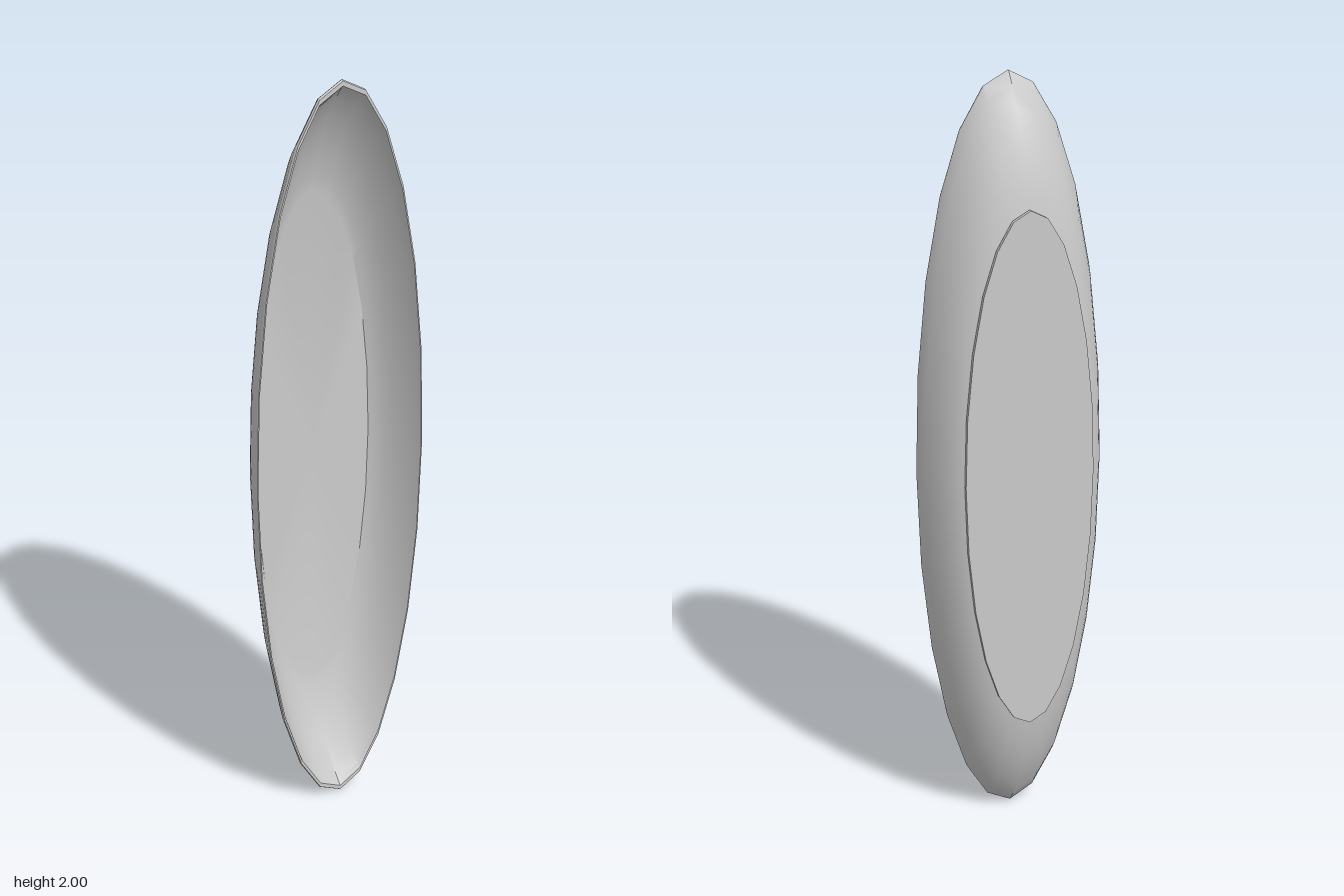
import * as THREE from 'three';
import { toCreasedNormals } from 'three/addons/utils/BufferGeometryUtils.js';

const HALF_WIDTH = 0.25;
const SEGMENTS = 24;

// Turns a [radius, depth] profile about z, then squeezes it into a tall ellipse
function ellipticalLathe(name, profile, material) {
  const points = profile.map(([r, d]) => new THREE.Vector2(r, d));
  const geometry = new THREE.LatheGeometry(points, SEGMENTS);
  geometry.rotateX(Math.PI / 2);
  geometry.scale(HALF_WIDTH, 1, 1);
  const mesh = new THREE.Mesh(toCreasedNormals(geometry, Math.PI / 6), material);
  mesh.name = name;
  mesh.position.y = 1;
  return mesh;
}

// Curved wall section sampled from a quadratic curve
function wall(start, control, end, steps = 8) {
  return new THREE.QuadraticBezierCurve(
    new THREE.Vector2(...start), new THREE.Vector2(...control), new THREE.Vector2(...end)
  ).getPoints(steps).map((p) => [p.x, p.y]);
}

export function createModel() {
  const model = new THREE.Group();
  model.name = 'ovalDish';
  const material = new THREE.MeshStandardMaterial({ color: 0xcccccc, side: THREE.DoubleSide });

  // Dish shell: outer wall, narrow rounded rim, inner wall and flat floor
  const shell = [
    ...wall([0.665, -0.065], [0.87, -0.037], [0.997, 0.064]),
    [1, 0.069],
    [0.997, 0.074],
    [0.985, 0.074],
    ...wall([0.975, 0.064], [0.855, -0.03], [0.69, -0.058]),
    [0, -0.058],
  ];
  model.add(ellipticalLathe('dishShell', shell, material));

  // Shallow flat foot on the back
  const foot = [[0, -0.075], [0.69, -0.075], [0.69, -0.065], [0.665, -0.065]];
  model.add(ellipticalLathe('foot', foot, material));

  return model;
}
